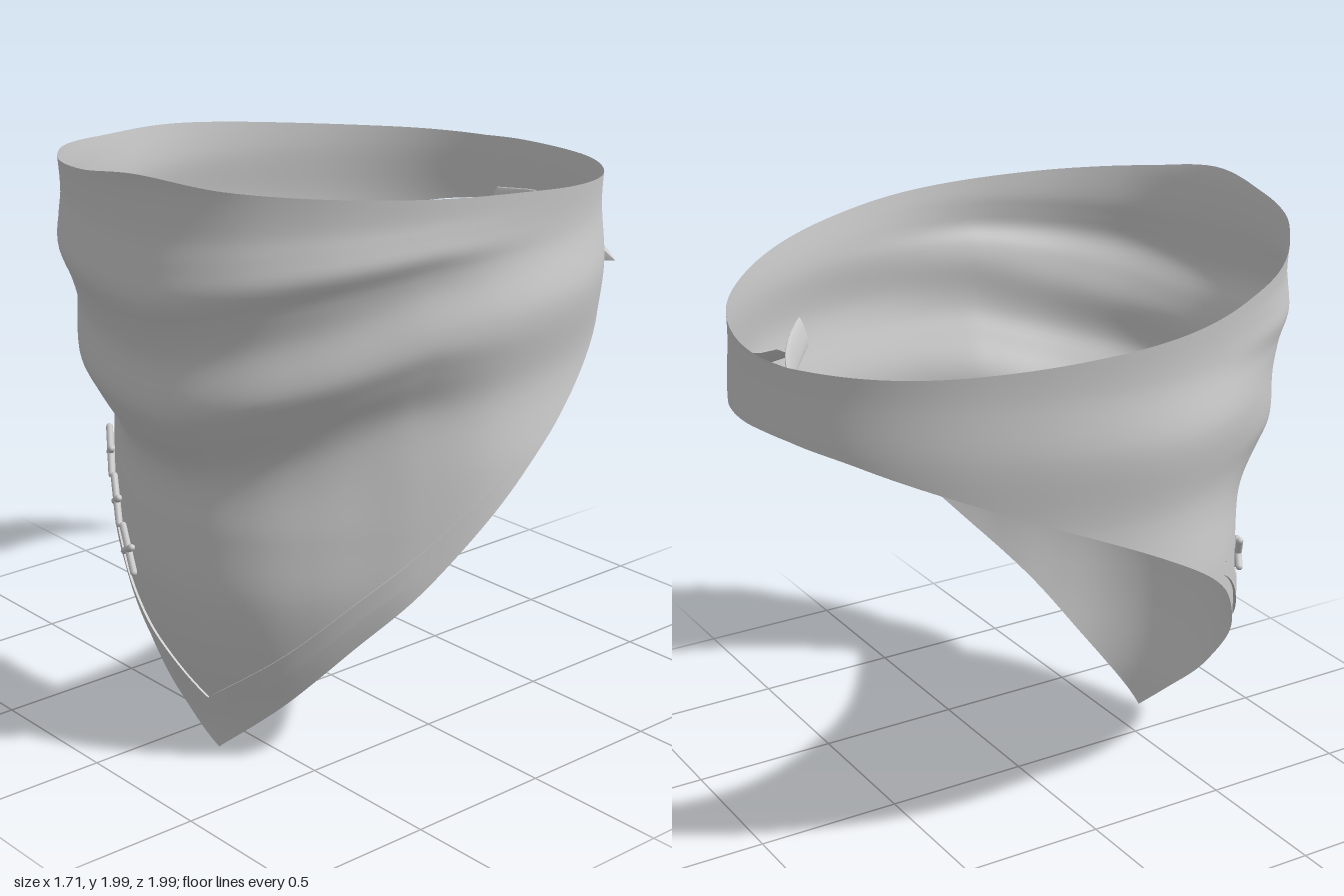
import * as THREE from 'three';
import { toCreasedNormals } from 'three/addons/utils/BufferGeometryUtils.js';
import { ConvexGeometry } from 'three/addons/geometries/ConvexGeometry.js';

const { clamp, smoothstep, lerp } = THREE.MathUtils;
const CREST = 15; // heading of the point of the scarf, degrees from +z towards +x

// Smooth interpolation through [key, value] pairs
function curve(table, x) {
  const n = table.length - 1;
  x = clamp(x, table[0][0], table[n][0]);
  let i = 0;
  while (i < n - 1 && x > table[i + 1][0]) i++;
  const slope = (k) => {
    const a = table[Math.max(k - 1, 0)], b = table[Math.min(k + 1, n)];
    return (b[1] - a[1]) / (b[0] - a[0]);
  };
  const [x0, y0] = table[i], [x1, y1] = table[i + 1];
  const h = x1 - x0, t = (x - x0) / h, t2 = t * t, t3 = t2 * t;
  return y0 * (2 * t3 - 3 * t2 + 1) + y1 * (3 * t2 - 2 * t3)
    + h * (slope(i) * (t3 - 2 * t2 + t) + slope(i + 1) * (t3 - t2));
}

// All tables below are keyed by degrees away from the crest
const RING = [[-180, 1], [-165, .965], [-140, .885], [-125, .86], [-105, .85], [-78, .825], [-60, .855],
  [-41, .9], [-28, .95], [-15, .985], [0, 1.007], [16, .99], [30, .95], [48, .9], [75, .853],
  [96, .855], [127, .9], [150, .96], [171, 1.003], [180, 1]];
const TOP = [[-180, 1.75], [-150, 1.77], [-105, 1.83], [-78, 1.86], [-41, 1.92], [-15, 1.955], [0, 1.985],
  [16, 1.955], [48, 1.915], [75, 1.885], [96, 1.85], [127, 1.8], [160, 1.76], [180, 1.75]];
const EDGE_POS = [[0, 0], [22, .21], [40, .42], [56, .61], [75, .87], [89, 1.04], [118, 1.28], [145, 1.46], [171, 1.52], [180, 1.52]];
const EDGE_NEG = [[0, 0], [15, .15], [32, .32], [58, .64], [78, .89], [105, 1.13], [135, 1.32], [165, 1.48], [180, 1.52]];
const DRAPE_POS = [[0, 1], [22, 1], [40, .88], [56, .58], [75, .15], [95, 0], [180, 0]];
const DRAPE_NEG = [[0, 1], [15, 1], [32, .95], [58, .56], [78, .15], [98, 0], [180, 0]];
// Fold profiles keyed by height: down the crest, and down the sides
const CREST_FOLD = [[0, -.355], [.13, -.33], [.4, -.25], [.6, -.21], [.8, -.205], [1, -.2], [1.15, -.11], [1.24, -.065],
  [1.4, -.07], [1.5, -.045], [1.6, -.006], [1.7, -.012], [1.8, -.022], [1.94, -.015], [2, 0]];
const SIDE_FOLD = [[.8, -.02], [1, -.02], [1.25, -.035], [1.5, .008], [1.7, -.018], [1.9, 0]];

const edge = (d) => curve(d < 0 ? EDGE_NEG : EDGE_POS, Math.abs(d));

// Point on the cloth at angle d and height y, pushed out by off
function cloth(d, y, off = 0) {
  const a = Math.abs(d);
  const k = curve(d < 0 ? DRAPE_NEG : DRAPE_POS, a);
  const rise = Math.min((d < 0 ? .0023 : .004) * (Math.sqrt(a * a + 25) - 5), d < 0 ? .13 : .2);
  const yf = y - rise * smoothstep(y, .75, 1.25) * (1 - smoothstep(y, 1.6, 1.95));
  const side = (1 - k) * lerp(1, .35, smoothstep(a, 80, 150));
  const r = curve(RING, d) + k * curve(CREST_FOLD, yf) + side * curve(SIDE_FOLD, y) + off;
  const th = (d + CREST) * Math.PI / 180;
  return new THREE.Vector3(r * Math.sin(th), y, r * Math.cos(th));
}

// Grid surface from fn(u, v); wrap joins the last column to the first
function grid(cols, rows, fn, wrap = false) {
  const pos = [], index = [], n = wrap ? cols : cols + 1;
  for (let j = 0; j <= rows; j++)
    for (let i = 0; i < n; i++) pos.push(...fn(i / cols, j / rows).toArray());
  for (let j = 0; j < rows; j++)
    for (let i = 0; i < cols; i++) {
      const a = j * n + i, b = j * n + (i + 1) % n;
      index.push(a, a + n, b, b, a + n, b + n);
    }
  const geo = new THREE.BufferGeometry();
  geo.setAttribute('position', new THREE.Float32BufferAttribute(pos, 3));
  geo.setIndex(index);
  geo.computeVertexNormals();
  return geo;
}

export function createModel() {
  const group = new THREE.Group();
  const mat = new THREE.MeshStandardMaterial({ color: 0xcccccc, side: THREE.DoubleSide });
  const add = (name, geo, parent = group) => {
    const mesh = new THREE.Mesh(geo, mat);
    mesh.name = name;
    parent.add(mesh);
    return mesh;
  };

  // Draped cloth, from the top rim down to the pointed lower edge
  add('scarfCloth', grid(180, 80, (u, v) => {
    const d = u * 360 - 180;
    return cloth(d, lerp(curve(TOP, d), edge(d), v));
  }, true));

  // Raised hem band that follows the lower edge
  const hem = [[1, .002], [1, .01], [0, .01], [0, .002]];
  add('hemBand', toCreasedNormals(grid(158, 3, (u, v) => {
    const d = lerp(-79, 79, u), f = (d / 79) ** 2;
    const [s, off] = hem[Math.round(v * 3)];
    return cloth(d, edge(d) + lerp(lerp(.12, .04, f), lerp(.2, .09, f), s), off);
  }), .6));

  // Three crossed stitches lying on the cloth
  const onCloth = (x, y) => {
    let lo = -80, hi = 0;
    for (let i = 0; i < 24; i++) {
      const mid = (lo + hi) / 2;
      if (cloth(mid, y).x < x) lo = mid; else hi = mid;
    }
    return cloth(lo, y, .017);
  };
  const up = new THREE.Vector3(0, 1, 0);
  for (let i = 0; i < 3; i++) {
    const cross = new THREE.Group();
    cross.name = 'crossStitch' + (i + 1);
    const x = -.43 + .15 * i, y = .86 - .11 * i;
    for (const [dx, dy] of [[.045, -.07], [.052, .028]]) {
      const p = onCloth(x - dx, y - dy), q = onCloth(x + dx, y + dy);
      const bar = add('stitch', new THREE.CapsuleGeometry(.012, p.distanceTo(q) - .01, 4, 10), cross);
      bar.position.copy(p).lerp(q, .5);
      bar.quaternion.setFromUnitVectors(up, q.clone().sub(p).normalize());
    }
    group.add(cross);
  }

  // Loose tie end curving inside the back, leaning outwards at its top
  const path = new THREE.CatmullRomCurve3([[-.08, 1.56, -.83], [.06, 1.585, -.795], [.19, 1.615, -.725], [.305, 1.645, -.63]]
    .map((p) => new THREE.Vector3(...p)));
  add('tieEnd', grid(16, 16, (u, v) => {
    const p = path.getPoint(v), a = u * Math.PI * 2;
    const w = .008 * Math.cos(a) - .012 * Math.sin(a);
    return p.add(new THREE.Vector3(-w * .5, .05 * Math.sin(a), w));
  }, true));

  // Small knot tab poking through the back wall
  add('knotTab', toCreasedNormals(new ConvexGeometry([[.36, 1.58, -.7], [.36, 1.55, -.645], [.38, 1.57, -.75],
    [.43, 1.56, -.78], [.51, 1.51, -.67], [.52, 1.54, -.72], [.525, 1.47, -.805], [.5, 1.5, -.8], [.5, 1.48, -.7]]
    .map((p) => new THREE.Vector3(...p))), 1));

  return group;
}
